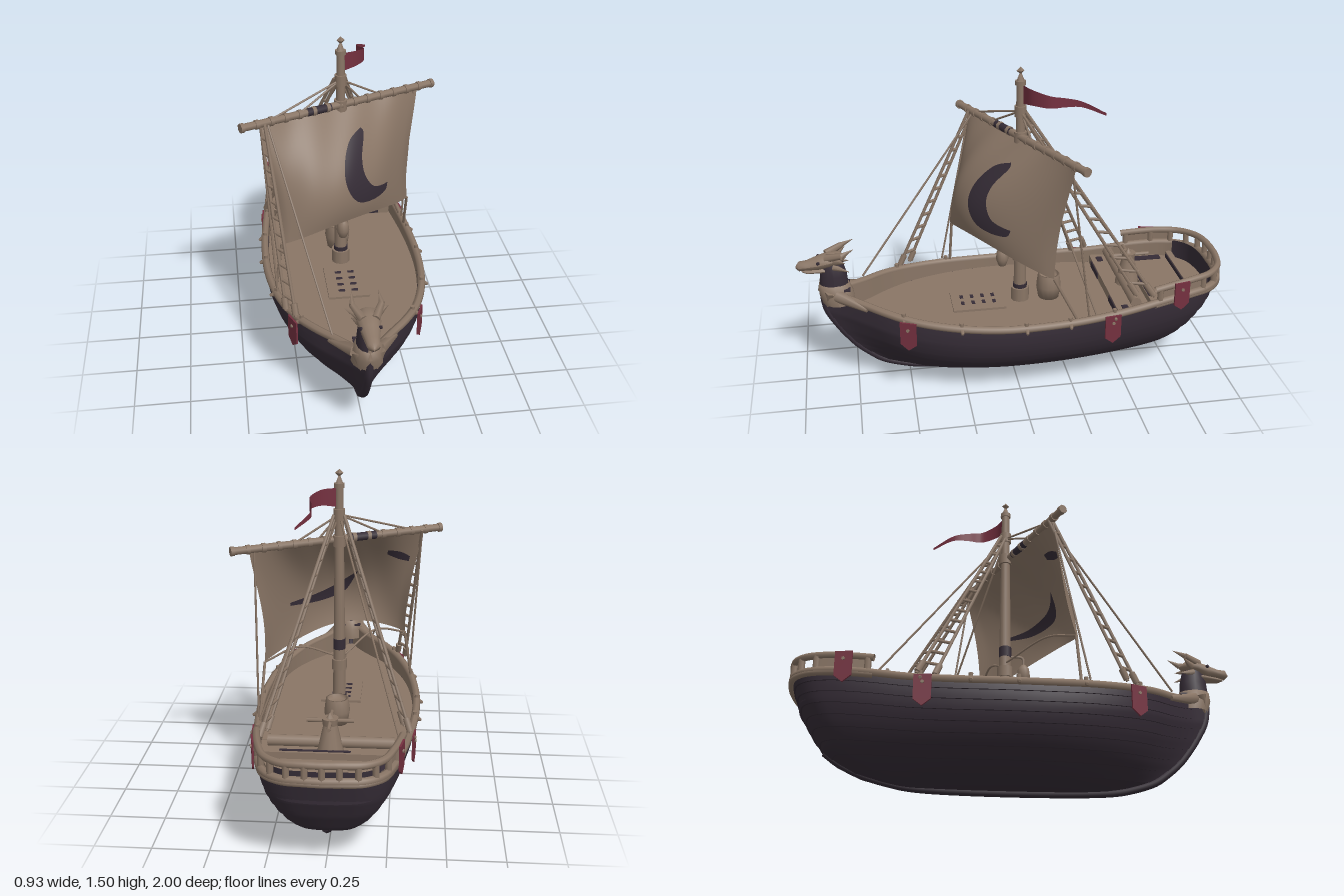
import * as THREE from 'three';

const V = (x, y, z) => new THREE.Vector3(x, y, z);
const mix = THREE.MathUtils.lerp;
const mat = (name, color) => Object.assign(new THREE.MeshStandardMaterial({ color, side: THREE.DoubleSide }), { name });

export function createModel() {
  const wood = mat('weathered wood', 0x8a7666);
  const dark = mat('dark planking', 0x352c36);
  const red = mat('red cloth', 0x74303f);
  const root = new THREE.Group();

  // ---------- helpers ----------
  const add = (name, geo, m, x = 0, y = 0, z = 0) => {
    const mesh = new THREE.Mesh(geo, m);
    mesh.name = name;
    mesh.position.set(x, y, z);
    root.add(mesh);
    return mesh;
  };
  const box = (name, w, h, d, m, x, y, z) => add(name, new THREE.BoxGeometry(w, h, d), m, x, y, z);
  // surface from a rule f(u, v) -> Vector3
  const grid = (nu, nv, f) => {
    const pos = [], idx = [];
    for (let j = 0; j <= nv; j++) for (let i = 0; i <= nu; i++) pos.push(...f(i / nu, j / nv).toArray());
    for (let j = 0; j < nv; j++) for (let i = 0; i < nu; i++) {
      const a = j * (nu + 1) + i, b = a + 1, c = b + nu + 1, d = a + nu + 1;
      idx.push(a, b, c, a, c, d);
    }
    const g = new THREE.BufferGeometry();
    g.setAttribute('position', new THREE.Float32BufferAttribute(pos, 3));
    g.setIndex(idx);
    g.computeVertexNormals();
    return g;
  };
  // straight spar or rope between two points
  const bar = (name, a, b, r, m = wood, r2 = r, sides = 6) => {
    const mesh = add(name, new THREE.CylinderGeometry(r2, r, a.distanceTo(b), sides), m);
    mesh.position.copy(a).add(b).multiplyScalar(0.5);
    mesh.quaternion.setFromUnitVectors(V(0, 1, 0), b.clone().sub(a).normalize());
  };
  const tube = (name, pts, r, m = wood, n = 24, sides = 6) =>
    add(name, new THREE.TubeGeometry(new THREE.CatmullRomCurve3(pts), n, r, sides), m);
  const table = (pts, t) => { // linear lookup
    for (let i = 1; i < pts.length; i++) if (t <= pts[i][0])
      return mix(pts[i - 1][1], pts[i][1], (t - pts[i - 1][0]) / (pts[i][0] - pts[i - 1][0]));
    return pts[pts.length - 1][1];
  };

  // ---------- hull ----------
  const half = new THREE.CatmullRomCurve3([
    [.012, .47, .88], [.05, .455, .8], [.12, .44, .7], [.2, .43, .6], [.27, .415, .48], [.33, .4, .3],
    [.36, .39, .1], [.363, .39, -.08], [.35, .395, -.28], [.325, .41, -.48], [.3, .435, -.66],
    [.272, .45, -.8], [.235, .455, -.9], [.165, .46, -.96], [.08, .465, -.98], [0, .465, -.985],
  ].map(p => V(...p)));
  const rim = u => {
    const p = half.getPoint(u < .5 ? u * 2 : 2 - u * 2);
    if (u > .5) p.x *= -1;
    return p;
  };
  const bowZ = [[0, .42], [.04, .54], [.1, .63], [.18, .685], [.28, .74], [.4, .785], [.53, .825], [.74, .872], [1, .885]];
  const sternZ = [[0, -.42], [.04, -.55], [.11, -.68], [.2, -.77], [.28, -.825], [.48, -.89], [.69, -.94], [1, -.985]];
  const hullPoint = (u, t, lap) => {
    const p = rim(u);
    const z = mix(table(sternZ, t), table(bowZ, t), (p.z + .985) / 1.865);
    const f = Math.sin(Math.PI / 2 * Math.pow(t, .66)) + lap;
    return V(p.x * f, mix(.012 + .08 * z ** 4, p.y, t), z * (1 + lap * .3));
  };
  const strakes = 9;
  for (let s = 0; s < strakes; s++) {
    const lap = s ? .022 : 0;
    add('hullStrake', grid(96, 4, (u, v) => hullPoint(u, (s + v) / strakes, lap * (1 - v))), dark);
    add('strakeEdge', grid(96, 1, (u, v) => hullPoint(u, s / strakes, lap * v)), dark);
  }
  const keelPts = [...bowZ].reverse().map(([t]) => hullPoint(0, t, 0))
    .concat(sternZ.slice(0, 5).map(([t]) => hullPoint(.5, t, 0))).map(p => V(0, p.y + .008, p.z));
  tube('keelAndStem', keelPts, .019, dark, 80, 8);

  // rails, bulwark lining and decks
  const loop = (u0, u1, n, dy, k = 1) => Array.from({ length: n + 1 }, (_, i) => {
    const p = rim(mix(u0, u1, i / n));
    return V(p.x * k, p.y + dy, p.z * k);
  });
  tube('mainRail', loop(.005, .995, 70, 0), .018, wood, 160, 7);
  const lining = (name, u0, u1, m, rise) => add(name, grid(48, 2, (u, v) => {
    const p = rim(mix(u0, u1, u));
    return V(p.x * .95, mix(.345, p.y + rise, v), p.z * .963);
  }), m);
  lining('leftLining', 0, .4, wood, 0);
  lining('sternLining', .4, .6, dark, .022);
  lining('rightLining', .6, 1, wood, 0);
  const deck = (name, u0, u1, y) => add(name, grid(2, 40, (u, v) => {
    const p = half.getPoint(mix(u0, u1, v));
    return V(p.x * .95 * (u * 2 - 1), y, p.z * .963);
  }), wood);
  deck('mainDeck', 0, .68, .345);
  deck('quarterDeck', .6, 1, .385);
  box('deckStep', .61, .05, .02, wood, 0, .362, -.465);
  for (const s of [-1, 1]) {
    box('stepPatch', .14, .03, .006, dark, s * .18, .365, -.453);
    box('cornerPatch', .045, .004, .03, dark, s * .25, .388, -.495);
  }
  box('sternBeam', .56, .03, .03, wood, 0, .4, -.63);
  box('beamPatch', .3, .004, .014, dark, .06, .416, -.625);
  box('sternBench', .46, .03, .03, wood, 0, .4, -.85);
  box('benchFront', .42, .02, .006, dark, 0, .4, -.833);
  box('deckPatch', .04, .004, .17, dark, -.225, .388, -.72);

  // raised stern railing: solid forward, open posts round the stern
  tube('sternRail', loop(.325, .675, 30, .07), .016, wood, 70, 7);
  tube('sternBand', loop(.325, .675, 30, -.01, 1.004), .015, wood, 70, 6);
  for (let i = 0; i <= 12; i++) {
    const p = rim(.33 + .34 * i / 12);
    bar('sternRailPost', p, V(p.x, p.y + .07, p.z), .015);
  }
  for (const [a, b] of [[.33, .385], [.615, .67]])
    add('sternPanel', grid(6, 1, (u, v) => rim(mix(a, b, u)).add(V(0, v * .07, 0))), wood);
  // rail pegs
  for (const u of [.12, .17, .22, .255, .29]) for (const w of [u, 1 - u]) {
    const p = rim(w), s = Math.sign(p.x);
    bar('railPeg', p, V(p.x + s * .03, p.y - .012, p.z), .016, wood, .006);
    bar('railCleat', p, V(p.x, p.y + .03, p.z), .01);
  }

  // ---------- hanging banners ----------
  const bannerShape = new THREE.Shape([V(-.038, 0), V(.038, 0), V(.038, -.11), V(0, -.14), V(-.038, -.11)]);
  for (const s of [-1, 1]) for (const [z, y, x, turn] of [[.515, .42, .277, .4], [-.41, .41, .35, -.13], [-.745, .525, .3, -.2]]) {
    const m = add('banner', new THREE.ExtrudeGeometry(bannerShape, { depth: .008, bevelEnabled: false }), red, s * x, y, z);
    m.rotation.y = s * (Math.PI / 2 - turn);
    const n = V(Math.sin(m.rotation.y), 0, Math.cos(m.rotation.y)), c = V(s * x, y - .035, z);
    bar('bannerStud', c, c.clone().addScaledVector(n, .014), .008);
  }

  // ---------- beast figurehead ----------
  const loft = (name, rings, m, upright) => add(name, grid(14, rings.length - 1, (u, v) => {
    const [a, c, r1, r2] = rings[Math.round(v * (rings.length - 1))], t = u * Math.PI * 2;
    return upright ? V(Math.cos(t) * r1, a, c + Math.sin(t) * r2) : V(Math.cos(t) * r1, c + Math.sin(t) * r2, a);
  }), m);
  loft('neckCollar', [[.41, .815, .068, .075], [.46, .825, .066, .08], [.505, .833, .054, .07], [.515, .833, .03, .03]], wood, true);
  loft('neck', [[.49, .832, .05, .067], [.55, .832, .046, .062], [.61, .835, .038, .05], [.65, .84, .005, .005]], dark, true);
  loft('head', [[.77, .635, .004, .004], [.8, .635, .04, .026], [.85, .628, .05, .034], [.9, .615, .04, .032],
    [.95, .606, .03, .022], [.985, .603, .026, .022], [1, .6, .004, .004]], wood);
  loft('lowerJaw', [[.84, .585, .004, .004], [.87, .582, .034, .016], [.95, .575, .022, .01], [.975, .577, .004, .004]], wood);
  bar('throat', V(0, .47, .875), V(0, .56, .872), .034, wood, .018);
  for (const s of [-1, 1]) {
    bar('horn', V(s * .025, .645, .86), V(s * .06, .668, .79), .02, wood, .014);
    bar('hornTip', V(s * .06, .668, .79), V(s * .055, .695, .735), .014, wood, .001);
    bar('ear', V(s * .035, .63, .82), V(s * .09, .645, .775), .018, wood, .001);
    bar('jawSpike', V(s * .03, .6, .83), V(s * .06, .585, .76), .016, wood, .001);
    bar('eye', V(s * .036, .628, .895), V(s * .044, .63, .9), .008, dark);
    bar('collarPoint', V(s * .045, .48, .85), V(s * .034, .4, .87), .028, wood, .004);
    bar('collarBrace', V(s * .05, .46, .82), V(s * .14, .425, .69), .03, wood, .012);
    box('bowPatch', .03, .008, .03, dark, s * .04, .484, .775);
  }

  // ---------- mast ----------
  const mz = -.04;
  bar('mast', V(0, .34, mz), V(0, 1.42, mz), .031, wood, .018, 12);
  for (const [y, h, r, m] of [[.375, .07, .044, wood], [.42, .02, .034, dark], [.58, .05, .036, wood], [.68, .05, .029, dark],
    [1.17, .05, .03, wood], [1.29, .05, .027, wood], [1.42, .02, .024, wood]])
    add('mastBand', new THREE.CylinderGeometry(r, r, h, 10), m, 0, y, mz);
  add('finialBase', new THREE.ConeGeometry(.02, .05, 6), wood, 0, 1.45, mz);
  add('finial', new THREE.OctahedronGeometry(.018), wood, 0, 1.475, mz);
  const pennantLine = new THREE.CatmullRomCurve3([[.01, 1.368, -.05], [.075, 1.372, -.08], [.12, 1.362, -.15],
    [.105, 1.352, -.22], [.105, 1.342, -.29], [.16, 1.308, -.39]].map(p => V(...p)));
  add('pennant', grid(30, 4, (u, v) => pennantLine.getPoint(u).add(V(0, (.5 - v) * mix(.085, .012, u), 0))), red);

  // ---------- yard and sail ----------
  const yard = x => V(x, 1.185 - .0215 * (x + .465), -.03 - .462 * x);
  bar('yard', yard(-.455), yard(.455), .017, wood, .017, 8);
  bar('yardBand', yard(-.16), yard(-.05), .0185, dark, .0185, 8);
  for (let i = 0; i <= 14; i++) {
    const x = -.45 + i * .9 / 14;
    bar('yardLashing', yard(x - .008), yard(x + .008), .021, wood, .021, 8);
  }
  const sail = (u, v) => {
    const top = yard(mix(-.375, .38, u)), bx = mix(-.3, .335, u), arch = Math.sin(Math.PI * u);
    const x = mix(top.x, bx, v) * (1 - .05 * Math.sin(Math.PI * v ** 1.4));
    const bulge = mix(.14, .05, u) * v + .165 * arch ** .75 * Math.sin(Math.PI * .72 * v);
    const ripple = .005 * Math.sin(u * 24 + v * 4) * (1 - v);
    return V(x, mix(top.y - .012, mix(.64, .615, u) + .075 * arch, v), yard(x).z + bulge + ripple);
  };
  add('sail', grid(36, 24, sail), wood);
  // crescent on the front: two edge curves in x, y mapped on to the cloth
  const edge = pts => new THREE.SplineCurve(pts.map(p => new THREE.Vector2(...p)));
  const outer = edge([[.08, 1.08], [.02, 1.045], [-.01, .96], [0, .87], [.05, .79], [.12, .765], [.19, .77], [.205, .805]]);
  const inner = edge([[.08, 1.08], [.093, 1.055], [.077, .98], [.08, .92], [.1, .87], [.13, .83], [.17, .812], [.205, .805]]);
  add('crescent', grid(40, 8, (s, w) => {
    const p = outer.getPoint(s).lerp(inner.getPoint(s), w);
    let u = .5, v = .5;
    for (let k = 0; k < 12; k++) {
      const q = sail(u, v);
      u += (p.x - q.x) / .68;
      v += (q.y - p.y) / .5;
    }
    return sail(u, v).add(V(.0024, 0, .006));
  }), dark);
  // flatter marks on the back of the cloth, in sail coordinates
  const backMark = (a, b) => add('backMark', grid(30, 6, (s, w) => {
    const p = edge(a).getPoint(s).lerp(edge(b).getPoint(s), w);
    return sail(p.x, p.y).add(V(-.0024, 0, -.006));
  }), dark);
  backMark([[.84, .62], [.7, .69], [.57, .7], [.46, .64], [.38, .42]], [[.84, .59], [.7, .61], [.57, .58], [.47, .51], [.38, .42]]);
  backMark([[.2, .17], [.12, .19], [.05, .24]], [[.2, .22], [.12, .27], [.05, .29]]);

  // ---------- rigging ----------
  const rope = (a, b, r = .005) => bar('rope', a, b, r, wood, r, 5);
  const ladder = (a, b, dir, wTop, wBottom, n) => {
    const side = (t, s) => a.clone().lerp(b, t).addScaledVector(dir, s * mix(wTop, wBottom, t));
    for (const s of [-1, 1]) {
      rope(side(0, s), side(1, s), .008);
      bar('deadeye', side(.93, s), side(.99, s), .015);
    }
    for (let i = 1; i < n; i++) bar('ladderRung', side(i / n, -1.15), side(i / n, 1.15), .007);
  };
  const head = V(0, 1.29, mz);
  ladder(V(-.02, 1.29, mz - .01), V(-.325, .42, -.4), V(.35, 0, .94), .012, .04, 14);
  ladder(V(.02, 1.29, mz - .01), V(.285, .46, -.58), V(-.3, 0, .95), .012, .04, 14);
  ladder(yard(-.36), V(-.285, .43, .49), V(.6, 0, .8), .015, .032, 12);
  rope(yard(-.34), V(-.13, .46, .7));
  rope(head, yard(-.34));
  for (const x of [-.2, .2, .1]) rope(head, yard(x));
  rope(head, V(.34, .4, -.34));
  rope(head, V(-.3, .44, -.6));
  rope(yard(.36), V(.345, .41, -.3));
  rope(yard(-.37), V(-.33, .42, .3));
  rope(sail(0, 1), V(-.335, .41, .26), .007);
  rope(sail(1, 1), V(.345, .41, -.24), .007);
  tube('sailFootRope', [sail(0, 1), V(-.16, .69, .13), V(-.02, .62, mz)], .005);
  tube('sailFootRope', [sail(1, 1), V(.18, .68, -.1), V(.02, .62, mz)], .005);

  // ---------- deck fittings ----------
  const lathe = (name, pts, x, y, z) => add(name, new THREE.LatheGeometry(pts.map(p => new THREE.Vector2(...p)), 14), wood, x, y, z);
  lathe('barrel', [[0, 0], [.05, 0], [.06, .06], [.052, .12], [.043, .12], [.043, .1], [0, .1]], 0, .345, -.18);
  box('hatch', .19, .014, .25, wood, 0, .349, .165);
  for (let i = 0; i < 4; i++) for (const s of [-1, 1])
    box('hatchOpening', .03, .004, .016, dark, s * .03, .356, .09 + i * .05);
  lathe('lantern', [[0, -.055], [.018, -.045], [.03, -.01], [.026, .025], [.01, .045], [0, .05]], 0, .575, .045);
  tube('lanternHook', [V(0, .62, .045), V(0, .655, .04), V(0, .66, mz)], .006);

  // capstan and windlass beam
  bar('windlassBeam', V(-.27, .42, -.54), V(.27, .42, -.54), .026, wood, .026, 8);
  add('capstanBase', new THREE.CylinderGeometry(.03, .06, .13, 10), wood, 0, .45, -.57);
  add('capstanHead', new THREE.CylinderGeometry(.036, .032, .03, 10), wood, 0, .53, -.57);
  bar('capstanBar', V(-.1, .533, -.57), V(.1, .533, -.57), .009);
  bar('capstanBar', V(0, .533, -.67), V(0, .533, -.48), .009);
  add('capstanCap', new THREE.ConeGeometry(.02, .03, 8), wood, 0, .555, -.57);
  return root;
}
